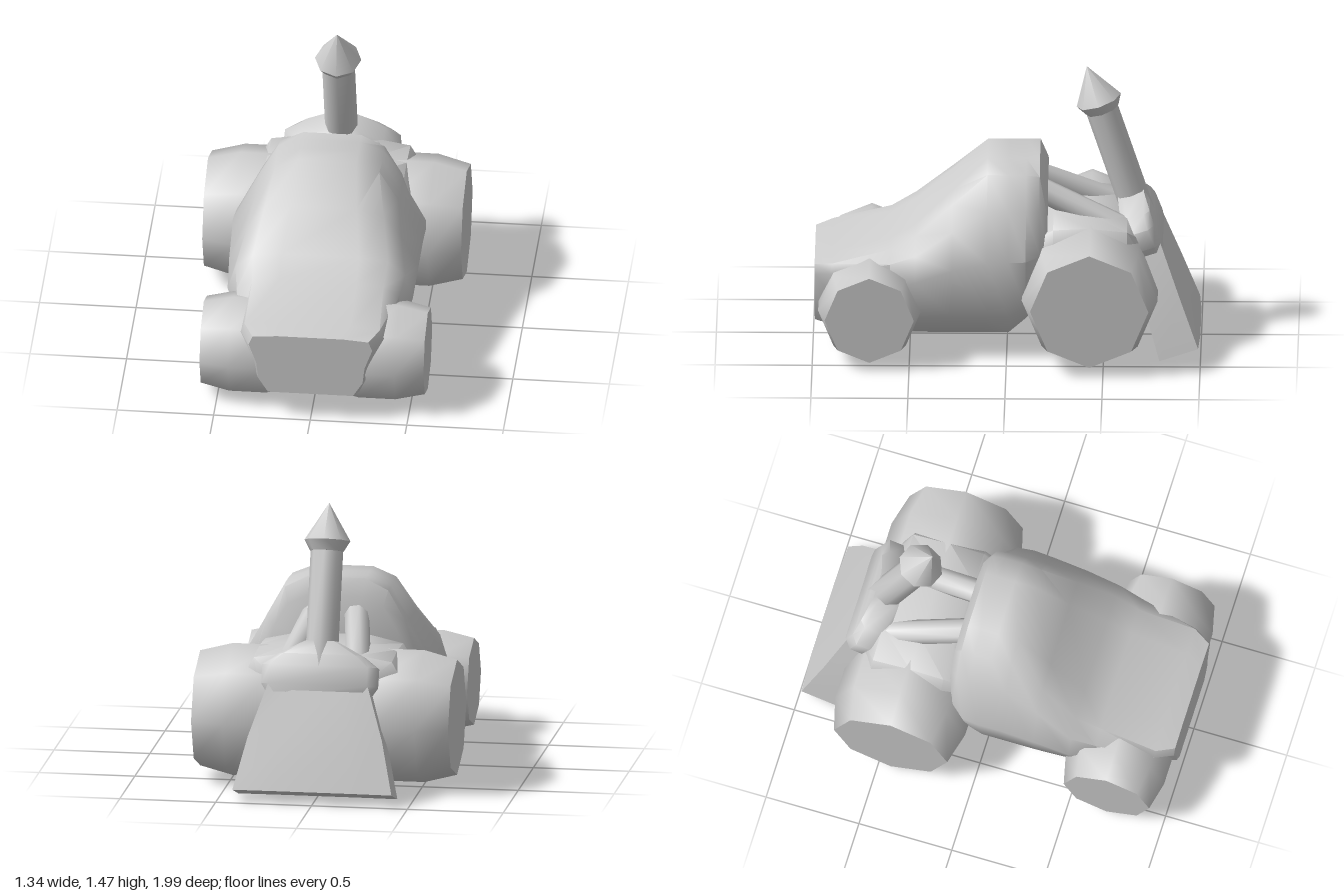
import * as THREE from 'three';
import { toCreasedNormals } from 'three/addons/utils/BufferGeometryUtils.js';

const material = new THREE.MeshStandardMaterial({ color: 0xcccccc });

function addMesh(parent, name, geometry, crease = 0.95) {
  const mesh = new THREE.Mesh(toCreasedNormals(geometry, crease), material);
  mesh.name = name;
  parent.add(mesh);
  return mesh;
}

// Skin a row of half sections, each [z, [x, y], ...] from bottom to top, mirrored in x
function loft(sections) {
  const rings = sections.map(([z, ...half]) => [
    ...half.map(([x, y]) => [x, y, z]),
    ...half.slice().reverse().map(([x, y]) => [-x, y, z]),
  ]);
  const n = rings[0].length;
  const positions = rings.flat(2);
  const index = [];
  for (let r = 0; r < rings.length - 1; r++) {
    for (let i = 0; i < n; i++) {
      const j = (i + 1) % n;
      const a = r * n + i, b = r * n + j, c = b + n, d = a + n;
      index.push(a, b, c, a, c, d);
    }
  }
  // End caps
  [0, rings.length - 1].forEach((r, end) => {
    const centre = positions.length / 3;
    const y = rings[r].reduce((sum, p) => sum + p[1], 0) / n;
    positions.push(0, y, rings[r][0][2]);
    for (let i = 0; i < n; i++) {
      const a = r * n + i, b = r * n + (i + 1) % n;
      if (end) index.push(centre, a, b);
      else index.push(centre, b, a);
    }
  });
  const geometry = new THREE.BufferGeometry();
  geometry.setAttribute('position', new THREE.Float32BufferAttribute(positions, 3));
  geometry.setIndex(index);
  return geometry;
}

function lathe(profile, sides) {
  return new THREE.LatheGeometry(profile.map(([r, y]) => new THREE.Vector2(r, y)), sides);
}

// Wide eight-sided barrel wheel on the x axis, one per side
function addWheelPair(parent, name, profile, y, z) {
  for (const side of [1, -1]) {
    const wheel = addMesh(parent, (side > 0 ? 'left' : 'right') + name,
      lathe(profile, 8).rotateZ(-Math.PI / 2));
    wheel.position.set(0, y, z);
    if (side < 0) wheel.rotation.y = Math.PI;
  }
}

function rod(from, to, radius) {
  const a = new THREE.Vector3(...from), b = new THREE.Vector3(...to);
  const dir = b.clone().sub(a);
  const geometry = new THREE.CylinderGeometry(radius, radius, dir.length(), 8);
  geometry.applyQuaternion(new THREE.Quaternion().setFromUnitVectors(
    new THREE.Vector3(0, 1, 0), dir.normalize()));
  const mid = a.add(b).multiplyScalar(0.5);
  return geometry.translate(mid.x, mid.y, mid.z);
}

export function createModel() {
  const model = new THREE.Group();
  model.name = 'buggy';

  // Cabin and sloping bonnet, from back to front
  addMesh(model, 'body', loft([
    [-0.21, [0.2, 0.4], [0.3, 0.5], [0.36, 0.6], [0.32, 0.76], [0.25, 0.88], [0.14, 0.93]],
    [-0.17, [0.26, 0.28], [0.36, 0.38], [0.43, 0.58], [0.36, 0.8], [0.27, 0.96], [0.15, 1.02]],
    [-0.1, [0.3, 0.2], [0.42, 0.3], [0.49, 0.57], [0.37, 0.8], [0.275, 0.97], [0.15, 1.02]],
    [-0.01, [0.31, 0.125], [0.43, 0.25], [0.5, 0.57], [0.37, 0.8], [0.275, 0.97], [0.15, 1.02]],
    [0.1, [0.31, 0.125], [0.43, 0.25], [0.495, 0.56], [0.37, 0.8], [0.27, 0.97], [0.15, 1.02]],
    [0.28, [0.31, 0.125], [0.43, 0.25], [0.49, 0.52], [0.4, 0.7], [0.31, 0.82], [0.17, 0.85]],
    [0.47, [0.31, 0.125], [0.42, 0.24], [0.48, 0.45], [0.44, 0.58], [0.35, 0.66], [0.2, 0.675]],
    [0.6, [0.3, 0.125], [0.37, 0.23], [0.42, 0.39], [0.42, 0.53], [0.34, 0.585], [0.2, 0.6]],
    [0.9, [0.25, 0.14], [0.3, 0.24], [0.32, 0.33], [0.37, 0.46], [0.35, 0.51], [0.2, 0.525]],
    [0.99, [0.22, 0.16], [0.27, 0.24], [0.28, 0.33], [0.32, 0.44], [0.3, 0.49], [0.17, 0.5]],
  ]));

  // Rounded engine block between the rear wheels
  addMesh(model, 'engineBlock', loft([
    [-0.68, [0.18, 0.32], [0.3, 0.42], [0.33, 0.58], [0.28, 0.63], [0.15, 0.64]],
    [-0.62, [0.22, 0.25], [0.36, 0.36], [0.41, 0.6], [0.36, 0.69], [0.18, 0.72]],
    [-0.42, [0.22, 0.23], [0.36, 0.35], [0.41, 0.62], [0.36, 0.71], [0.18, 0.73]],
    [-0.24, [0.22, 0.23], [0.36, 0.35], [0.42, 0.6], [0.36, 0.7], [0.18, 0.74]],
    [-0.12, [0.2, 0.25], [0.33, 0.36], [0.38, 0.56], [0.34, 0.63], [0.17, 0.65]],
  ]));

  addWheelPair(model, 'FrontWheel',
    [[0, 0.08], [0.23, 0.08], [0.265, 0.24], [0.265, 0.43], [0.23, 0.58], [0, 0.58]], 0.28, 0.705);
  addWheelPair(model, 'RearWheel',
    [[0, 0.08], [0.305, 0.08], [0.35, 0.28], [0.35, 0.5], [0.305, 0.67], [0, 0.67]], 0.365, -0.43);

  // Twin pipes running down from the cabin back
  for (const side of [1, -1]) {
    addMesh(model, side > 0 ? 'leftPipe' : 'rightPipe',
      rod([side * 0.105, 0.84, -0.16], [side * 0.18, 0.66, -0.58], 0.065));
  }

  // Leaning rear spade: flared blade, shoulders, shaft and pointed head
  const spade = new THREE.Group();
  spade.name = 'spade';
  spade.position.set(0, 0.04, -0.888);
  spade.rotation.x = THREE.MathUtils.degToRad(18.5);
  model.add(spade);

  const slab = (y, w, back, front, bow) =>
    [y, [w * 0.5, -front - bow], [w, -front], [w, back], [w * 0.5, back - bow]];
  addMesh(spade, 'blade', loft([
    slab(0, 0.415, 0.105, 0.105, -0.01),
    slab(0.28, 0.35, 0.095, 0.095, -0.01),
    slab(0.56, 0.26, 0.085, 0.08, 0),
  ]).rotateX(-Math.PI / 2), 0.6);

  const bar = (y, w, d) => [y, [w * 0.85, -d], [w, -d * 0.6], [w, d * 0.6], [w * 0.85, d]];
  addMesh(spade, 'shoulders', loft([
    bar(0.5, 0.26, 0.085),
    bar(0.56, 0.3, 0.09),
    bar(0.66, 0.3, 0.085),
    bar(0.72, 0.22, 0.08),
    bar(0.79, 0.085, 0.07),
  ]).rotateX(-Math.PI / 2));

  addMesh(spade, 'shaft', rod([0, 0.6, 0], [0, 1.28, 0], 0.085));
  addMesh(spade, 'head', lathe([[0, 1.26], [0.088, 1.26], [0.12, 1.315], [0, 1.51]], 8));

  return model;
}
